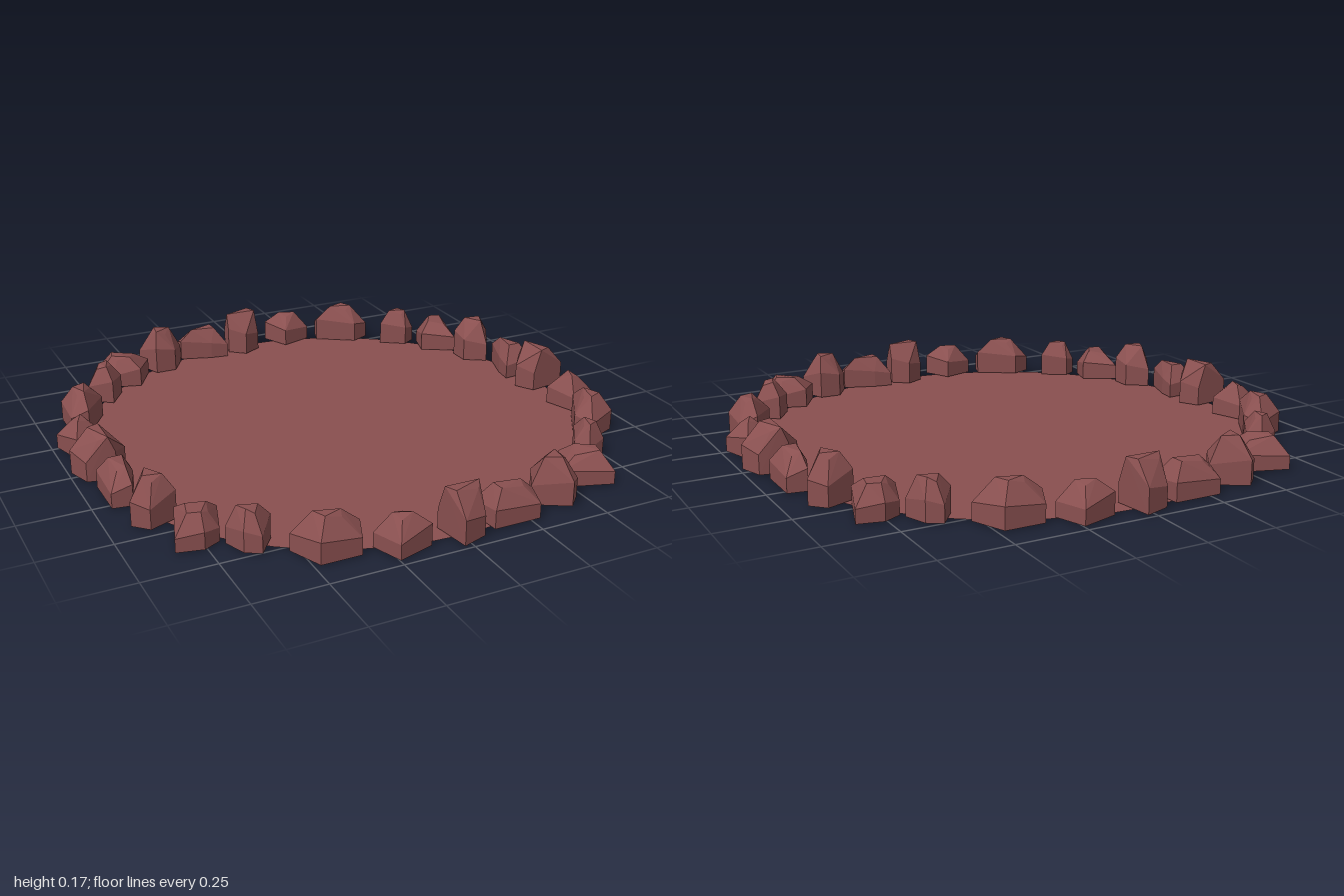
import * as THREE from 'three';
import { ConvexGeometry } from 'three/addons/geometries/ConvexGeometry.js';

// A boulder rises from its footprint to uneven shoulders, then closes in to a smaller crown.
// wide and deep give the crown's share of the footprint along and across the ring.
function boulderGeometry(height, wide, deep, footprint) {
  const corners = footprint.map(([x, z]) => new THREE.Vector3(x, 0, z));
  const centre = new THREE.Vector3();
  corners.forEach((c) => centre.addScaledVector(c, 1 / corners.length));
  const outward = centre.clone().normalize();
  const along = new THREE.Vector3(outward.z, 0, -outward.x);

  const points = [];
  corners.forEach((corner, i) => {
    const offset = corner.clone().sub(centre);
    const crown = centre.clone()
      .addScaledVector(along, wide * offset.dot(along))
      .addScaledVector(outward, deep * offset.dot(outward));
    points.push(
      corner.clone().setY(0.004),
      corner.clone().setY(height * (0.45 + 0.1 * (i % 3))),
      crown.setY(height * (i % 2 ? 0.9 : 1)),
    );
  });
  return new ConvexGeometry(points);
}

export function createModel() {
  const model = new THREE.Group();
  model.name = 'stoneRing';
  const stone = new THREE.MeshStandardMaterial({ color: 0x8a5050, flatShading: true });
  const floorMaterial = new THREE.MeshStandardMaterial({ color: 0x8a5050, side: THREE.DoubleSide });

  // Flat round floor
  const floor = new THREE.Mesh(new THREE.CircleGeometry(0.92, 48).rotateX(-Math.PI / 2), floorMaterial);
  floor.name = 'floor';
  model.add(floor);

  // Seven boulders make up a quarter of the ring
  const boulders = {
    uprightBoulder: boulderGeometry(0.165, 0.95, 0.3, [[-0.05, 0.85], [0.02, 0.81], [0.08, 0.86], [0.06, 0.96], [-0.03, 0.99]]),
    squareBoulder: boulderGeometry(0.125, 0.35, 0.35, [[-0.29, 0.87], [-0.17, 0.83], [-0.12, 0.94], [-0.25, 0.98]]),
    longBoulder: boulderGeometry(0.145, 0.4, 0.4, [[-0.53, 0.78], [-0.46, 0.75], [-0.32, 0.84], [-0.34, 0.9], [-0.48, 0.9]]),
    smallBoulder: boulderGeometry(0.14, 0.5, 0.4, [[-0.69, 0.65], [-0.64, 0.62], [-0.55, 0.68], [-0.61, 0.76], [-0.66, 0.73]]),
    broadBoulder: boulderGeometry(0.115, 0.5, 0.45, [[-0.85, 0.64], [-0.79, 0.46], [-0.67, 0.53], [-0.7, 0.63], [-0.76, 0.66]]),
    tallBoulder: boulderGeometry(0.165, 0.5, 0.4, [[-0.85, 0.3], [-0.77, 0.35], [-0.77, 0.43], [-0.87, 0.47], [-0.92, 0.42]]),
    slabBoulder: boulderGeometry(0.125, 0.5, 0.4, [[-0.82, 0.1], [-0.83, 0.17], [-0.87, 0.29], [-0.94, 0.28], [-0.94, 0.11]]),
  };

  // The same quarter repeated four times
  for (let q = 0; q < 4; q++) {
    const quarter = new THREE.Group();
    quarter.name = `boulderQuarter${q + 1}`;
    quarter.rotation.y = (q * Math.PI) / 2;
    for (const [name, geometry] of Object.entries(boulders)) {
      const boulder = new THREE.Mesh(geometry, stone);
      boulder.name = name;
      quarter.add(boulder);
    }
    model.add(quarter);
  }
  return model;
}
